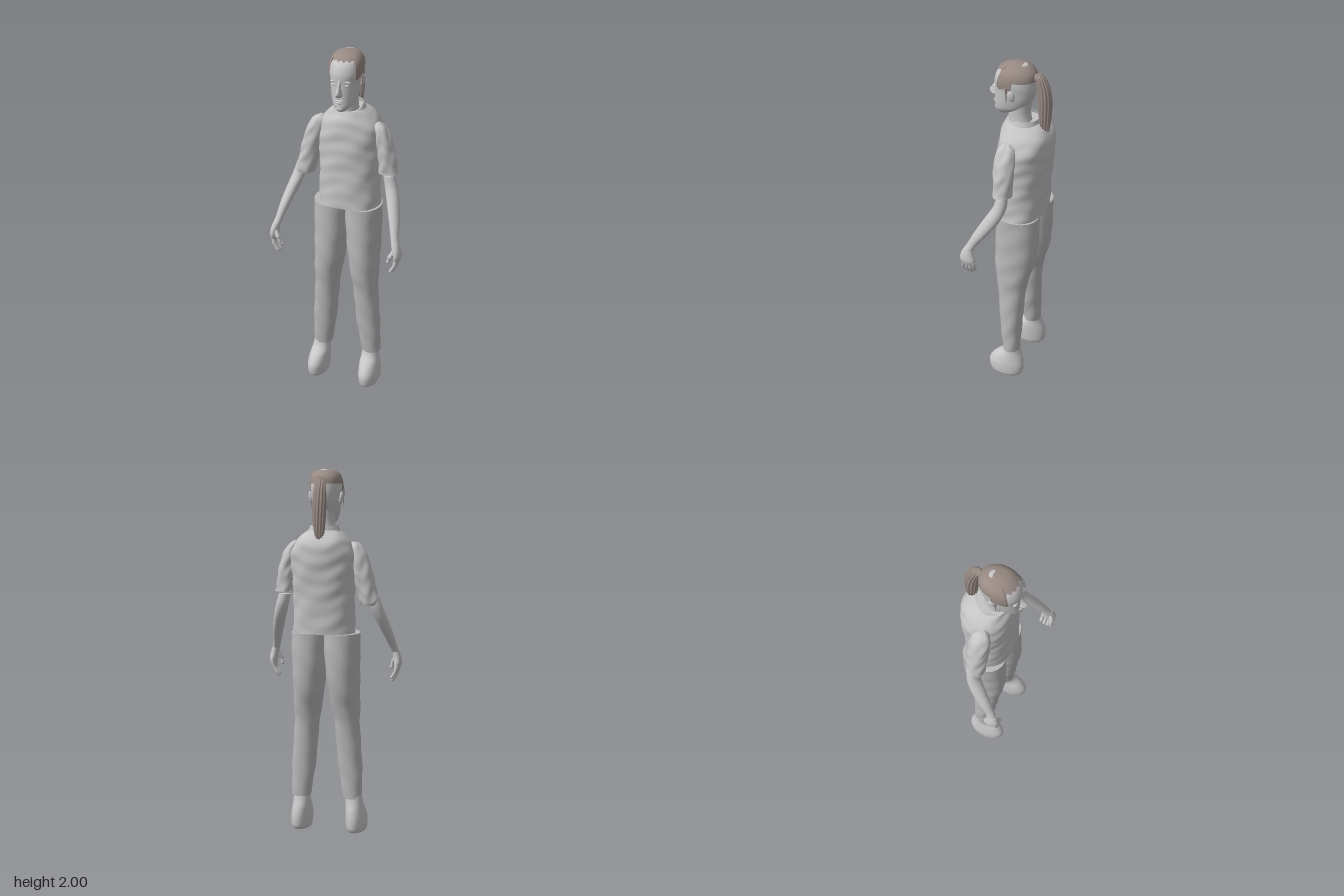
import * as THREE from 'three';

const mat = (name, color, side = THREE.FrontSide) => {
  const m = new THREE.MeshStandardMaterial({ color, side });
  m.name = name;
  return m;
};

// Smooth grid surface: f(u, v) gives a point, u around, v upwards.
function surface(nu, nv, f, capBottom = false, capTop = false) {
  const pos = [], idx = [];
  for (let j = 0; j <= nv; j++)
    for (let i = 0; i < nu; i++) pos.push(...f(i / nu, j / nv));
  for (let j = 0; j < nv; j++)
    for (let i = 0; i < nu; i++) {
      const k = (i + 1) % nu, a = j * nu + i, b = j * nu + k;
      idx.push(a, a + nu, b, b, a + nu, b + nu);
    }
  // Caps get their own ring so the rim stays crisp
  const cap = (v, top) => {
    const c = new THREE.Vector3(), s = pos.length / 3;
    for (let i = 0; i < nu; i++) {
      const p = f(i / nu, v);
      pos.push(...p);
      c.add(new THREE.Vector3(...p));
    }
    pos.push(...c.divideScalar(nu).toArray());
    for (let i = 0; i < nu; i++) {
      const k = (i + 1) % nu;
      if (top) idx.push(s + nu, s + k, s + i);
      else idx.push(s + nu, s + i, s + k);
    }
  };
  if (capBottom) cap(0, false);
  if (capTop) cap(1, true);
  const g = new THREE.BufferGeometry();
  g.setAttribute('position', new THREE.Float32BufferAttribute(pos, 3));
  g.setIndex(idx);
  g.computeVertexNormals();
  return g;
}

// Catmull-Rom sample of rows [y, centreX, centreZ, radiusX, radiusZ]
function sample(rows, s) {
  const n = rows.length - 1, i = Math.min(Math.floor(s), n - 1), t = s - i;
  const at = k => rows[Math.max(0, Math.min(n, k))];
  const [p, a, b, q] = [at(i - 1), at(i), at(i + 1), at(i + 2)];
  return a.map((_, c) => 0.5 * (2 * a[c] + (b[c] - p[c]) * t
    + (2 * p[c] - 5 * a[c] + 4 * b[c] - q[c]) * t * t
    + (3 * a[c] - p[c] - 3 * b[c] + q[c]) * t * t * t));
}

// Point on a super-ellipse ring
function ringPoint([y, cx, cz, rx, rz], a, grow = 0, e = 2) {
  const pw = w => Math.sign(w) * Math.pow(Math.abs(w), 2 / e);
  return [cx + pw(Math.cos(a)) * (rx + grow), y, cz + pw(Math.sin(a)) * (rz + grow)];
}

function loft(rows, { n = 32, e = 2, ripple = () => 0, steps = 6 } = {}) {
  const last = rows.length - 1;
  return surface(n, last * steps, (u, v) => {
    const a = u * Math.PI * 2, r = sample(rows, v * last);
    return ringPoint(r, a, ripple(a, r[0]), e);
  }, true, true);
}

export function createModel() {
  const model = new THREE.Group();
  model.name = 'standingFigure';
  const skin = mat('skin grey', 0xc6c6c6);
  const shirt = mat('shirt grey', 0xc4c4c4, THREE.DoubleSide);
  const trousers = mat('trouser grey', 0xb9b9b9);
  const shoe = mat('shoe grey', 0xc8c8c8);
  const hair = mat('hair brown', 0x988a84, THREE.DoubleSide);
  const CX = 0.018;

  const add = (name, geo, material, parent = model) => {
    const m = new THREE.Mesh(geo, material);
    m.name = name;
    parent.add(m);
    return m;
  };
  const blob = (name, material, p, s, parent = model) => {
    const m = add(name, new THREE.SphereGeometry(1, 20, 14), material, parent);
    m.position.set(...p);
    m.scale.set(...s);
    return m;
  };
  // Tapering limb between two points
  const rod = (name, material, a, b, r, parent) => {
    const A = new THREE.Vector3(...a), B = new THREE.Vector3(...b), d = B.clone().sub(A);
    const m = add(name, new THREE.CapsuleGeometry(r, d.length(), 5, 10), material, parent);
    m.position.copy(A).add(B).multiplyScalar(0.5);
    m.quaternion.setFromUnitVectors(new THREE.Vector3(0, 1, 0), d.normalize());
    return m;
  };

  // Shirt body with faint creases, and the collar
  const crease = (a, y) => 0.0018 * (Math.sin(y * 75 + 2 * Math.sin(3 * a)) + Math.sin(5 * a + y * 31));
  add('shirtBody', loft([
    [1.12, CX, -0.033, 0.17, 0.126], [1.3, CX, -0.038, 0.167, 0.13],
    [1.45, 0.02, -0.045, 0.172, 0.137], [1.55, 0.022, -0.05, 0.172, 0.139],
    [1.61, 0.021, -0.05, 0.148, 0.133], [1.65, 0.02, -0.043, 0.115, 0.112],
    [1.675, CX, -0.028, 0.082, 0.088],
  ], { n: 56, e: 2.25, ripple: crease, steps: 8 }), shirt);
  add('collar', surface(40, 4, (u, v) => {
    const a = u * Math.PI * 2, dip = 0.045 * Math.max(0, Math.sin(a));
    return ringPoint([1.645 + v * (0.055 - dip), CX, -0.024, 0.098 - 0.022 * v, 0.1 - 0.01 * v], a);
  }), shirt);

  // Sleeves
  add('leftSleeve', loft([
    [1.335, 0.246, -0.012, 0.055, 0.05], [1.36, 0.243, -0.012, 0.05, 0.05],
    [1.45, 0.233, -0.012, 0.048, 0.055], [1.54, 0.213, -0.012, 0.04, 0.054],
    [1.59, 0.196, -0.01, 0.028, 0.042], [1.612, 0.185, -0.01, 0.01, 0.015],
  ], { ripple: crease }), shirt);
  add('rightSleeve', loft([
    [1.27, -0.228, -0.006, 0.045, 0.046], [1.295, -0.227, -0.008, 0.054, 0.052],
    [1.36, -0.21, -0.01, 0.053, 0.055], [1.45, -0.188, -0.012, 0.056, 0.058],
    [1.54, -0.165, -0.012, 0.05, 0.055], [1.59, -0.15, -0.01, 0.034, 0.042],
    [1.612, -0.14, -0.01, 0.012, 0.015],
  ], { ripple: crease }), shirt);

  for (const s of [1, -1]) {
    const side = s > 0 ? 'left' : 'right';

    // Forearm and hand
    add(side + 'Forearm', loft([
      [0.985, s * 0.347, 0.15, 0.022, 0.026], [1.03, s * 0.333, 0.125, 0.022, 0.028],
      [1.1, s * 0.315, 0.082, 0.029, 0.038], [1.19, s * 0.287, 0.028, 0.034, 0.043],
      [1.26, s * 0.264, -0.004, 0.035, 0.036], [1.32, s * 0.248, -0.012, 0.032, 0.03],
    ], { n: 24 }), skin);
    const hand = new THREE.Group();
    hand.name = side + 'Hand';
    model.add(hand);
    add('palm', loft([
      [0.9, s * 0.354, 0.143, 0.016, 0.036], [0.93, s * 0.358, 0.146, 0.021, 0.043],
      [0.965, s * 0.353, 0.15, 0.022, 0.036], [1.0, s * 0.343, 0.145, 0.021, 0.026],
    ], { n: 20 }), skin, hand);
    for (let i = 0; i < 4; i++) {
      const z = 0.112 + i * 0.02, drop = [0.015, 0, 0, 0.008][i];
      rod('fingerBase', skin, [s * 0.358, 0.915, z], [s * 0.35, 0.872 + drop, z + 0.003], 0.0105, hand);
      rod('fingerTip', skin, [s * 0.35, 0.872 + drop, z + 0.003], [s * 0.33, 0.838 + drop, z + 0.002], 0.0095, hand);
    }
    rod('thumbBase', skin, [s * 0.345, 0.965, 0.165], [s * 0.325, 0.93, 0.178], 0.013, hand);
    rod('thumbTip', skin, [s * 0.325, 0.93, 0.178], [s * 0.315, 0.9, 0.178], 0.01, hand);

    // Trouser leg and shoe
    const X = c => 0.009 + s * c;
    add(side + 'TrouserLeg', loft([
      [0.19, X(0.147), -0.018, 0.052, 0.048], [0.28, X(0.14), -0.014, 0.06, 0.055],
      [0.4, X(0.13), -0.01, 0.067, 0.063], [0.6, X(0.115), -0.008, 0.068, 0.079],
      [0.7, X(0.108), -0.01, 0.076, 0.096], [0.8, X(0.1), -0.02, 0.084, 0.114],
      [0.95, X(0.093), -0.03, 0.094, 0.121], [1.12, X(0.09), -0.033, 0.1, 0.118],
    ], { e: 2.15, ripple: (a, y) => 0.0015 * Math.sin(y * 40 + 2 * Math.sin(2 * a)) }), trousers);
    const F = c => 0.002 + s * c;
    add(side + 'Shoe', loft([
      [0, F(0.157), 0.016, 0.05, 0.09], [0.02, F(0.158), 0.014, 0.057, 0.102],
      [0.07, F(0.157), 0.013, 0.058, 0.106], [0.12, F(0.153), 0.002, 0.054, 0.088],
      [0.165, F(0.15), -0.015, 0.048, 0.056], [0.21, F(0.148), -0.018, 0.045, 0.043],
    ], { steps: 5 }), shoe);
  }

  // Neck and head
  add('neck', loft([
    [1.6, CX, -0.02, 0.066, 0.07], [1.66, CX, -0.012, 0.058, 0.063],
    [1.72, CX, -0.005, 0.053, 0.06], [1.79, CX, -0.01, 0.055, 0.062],
  ]), skin);
  // Rows of the skull: height, front z, back z, half width
  const skull = [
    [1.697, 0.115, 0.055, 0.022], [1.72, 0.129, 0.005, 0.046], [1.75, 0.128, -0.045, 0.063],
    [1.8, 0.127, -0.08, 0.074], [1.85, 0.126, -0.094, 0.08], [1.9, 0.126, -0.096, 0.085],
    [1.95, 0.106, -0.088, 0.077], [1.982, 0.062, -0.056, 0.052], [1.994, 0.014, -0.016, 0.008],
  ].map(([y, f, b, w]) => [y, CX, (f + b) / 2, w, (f - b) / 2]);
  const head = new THREE.Group();
  head.name = 'head';
  model.add(head);
  add('skull', loft(skull, { n: 48, e: 2.1 }), skin, head);

  // Facial features
  add('nose', loft([
    [1.784, CX, 0.128, 0.014, 0.018], [1.795, CX, 0.128, 0.02, 0.03],
    [1.81, CX, 0.126, 0.015, 0.038], [1.84, CX, 0.122, 0.01, 0.022],
    [1.875, CX, 0.118, 0.01, 0.009],
  ], { n: 20 }), skin, head);
  blob('upperLip', skin, [CX, 1.761, 0.125], [0.024, 0.0055, 0.011], head);
  blob('lowerLip', skin, [CX, 1.75, 0.124], [0.02, 0.0065, 0.011], head);
  blob('chin', skin, [CX, 1.717, 0.117], [0.022, 0.018, 0.015], head);
  for (const s of [1, -1]) {
    blob('eye', skin, [CX + s * 0.033, 1.842, 0.112], [0.015, 0.008, 0.009], head);
    blob('brow', skin, [CX + s * 0.035, 1.863, 0.112], [0.022, 0.006, 0.01], head).rotation.z = -s * 0.12;
    blob('ear', skin, [CX + s * 0.084, 1.845, 0.005], [0.011, 0.034, 0.02], head).rotation.z = -s * 0.15;
    const lock = add('looseLock', new THREE.ConeGeometry(0.007, 0.11, 8), hair, head);
    lock.position.set(CX + s * 0.09, 1.835, 0.03);
    lock.rotation.x = Math.PI;
  }

  // Hair cap: high at the forehead, low at the temples, raised behind
  const hairline = a => {
    const d = Math.sin(a);
    return d > 0.62 ? 6.3 + 0.12 * Math.sin(a * 17) : d > -0.08 ? 4.4 + 0.15 * Math.sin(a * 9) : 5.35;
  };
  add('hairCap', surface(96, 24, (u, v) => {
    const a = u * Math.PI * 2, h = hairline(a);
    return ringPoint(sample(skull, h + (8 - h) * v), a, 0.006, 2.1).map((c, i) => i === 1 ? c + 0.004 : c);
  }, false, true), hair, head);
  // Bare crescent on the crown
  add('crownPatch', surface(24, 6, (u, v) => {
    const a = Math.PI * 1.5 + 0.75 * Math.sin(u * Math.PI * 2);
    const s = 7.6 + 0.25 * Math.cos(u * Math.PI * 2) * v;
    return ringPoint(sample(skull, s), a, 0.0065, 2.1).map((c, i) => i === 1 ? c + 0.0055 : c);
  }), shirt, head);

  // Ponytail with strand ridges
  add('hairTie', new THREE.CylinderGeometry(0.02, 0.024, 0.05, 16), hair, head)
    .rotation.x = Math.PI / 2;
  head.getObjectByName('hairTie').position.set(CX, 1.935, -0.1);
  add('ponytail', loft([
    [1.575, CX, -0.145, 0.004, 0.005], [1.62, CX, -0.145, 0.016, 0.02],
    [1.7, CX, -0.148, 0.03, 0.029], [1.8, CX, -0.147, 0.036, 0.034],
    [1.88, CX, -0.138, 0.033, 0.032], [1.935, CX, -0.122, 0.026, 0.023],
    [1.958, CX, -0.112, 0.01, 0.01],
  ], { n: 72, ripple: (a, y) => 0.0025 * Math.cos(12 * a + y * 14) }), hair, head);

  return model;
}
